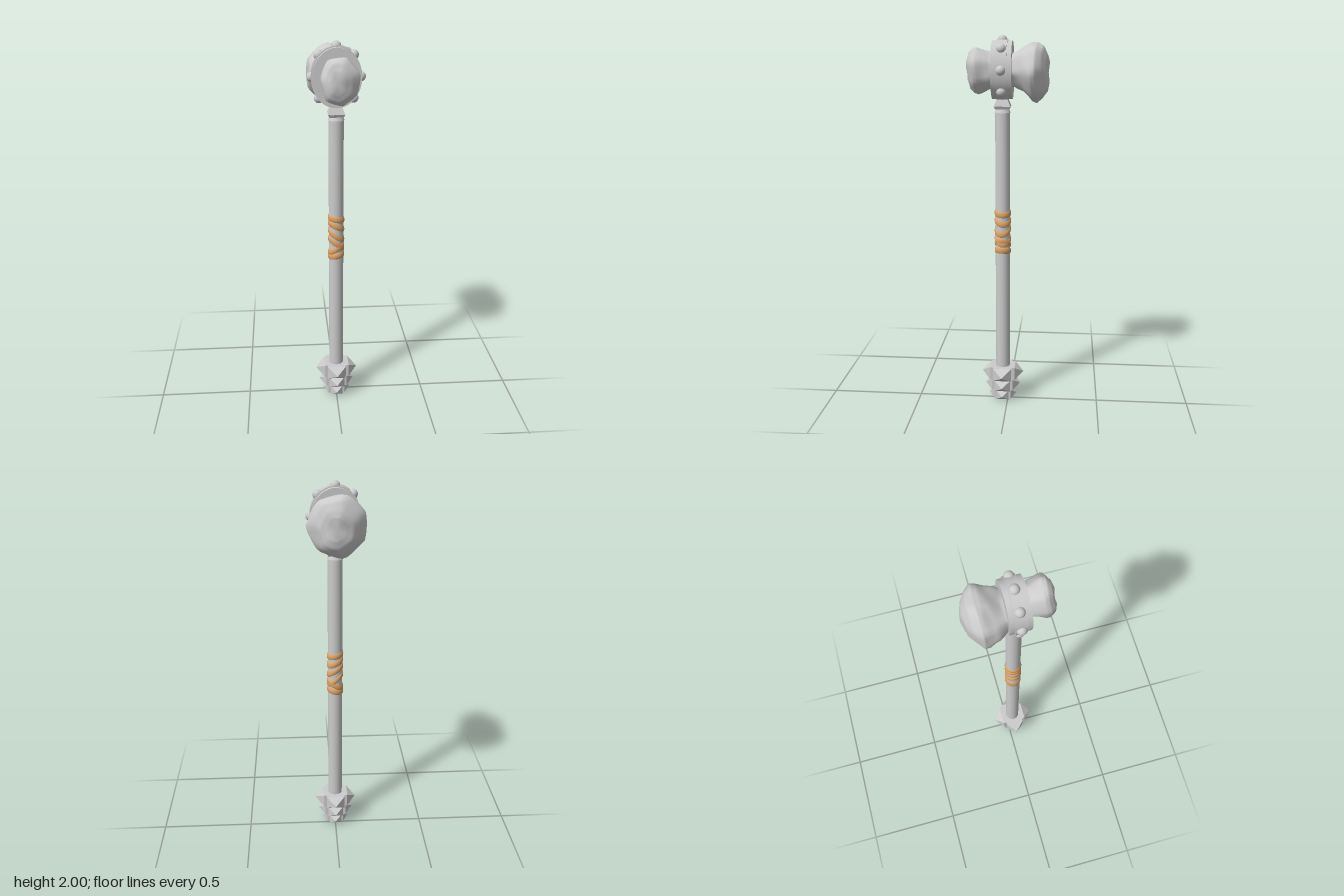
import * as THREE from 'three';

const grey = new THREE.MeshStandardMaterial({ color: 0xcccccc });
const facet = new THREE.MeshStandardMaterial({ color: 0xcccccc, flatShading: true });
const cord = new THREE.MeshStandardMaterial({ color: 0xe0a468, side: THREE.DoubleSide });

function add(parent, name, geo, mat, x = 0, y = 0, z = 0) {
  const m = new THREE.Mesh(geo, mat);
  m.name = name;
  m.position.set(x, y, z);
  parent.add(m);
  return m;
}

// Square frustum given by half widths
function frustum(top, bottom, h) {
  return new THREE.CylinderGeometry(top * Math.SQRT2, bottom * Math.SQRT2, h, 4).rotateY(Math.PI / 4);
}

// Rough stone lofted along z; stations are [z, xMin, xMax, yMin, yMax]
function stone(stations, sides, phase) {
  const N = 40, steps = 4, pos = [], idx = [];
  const rows = [];
  for (let i = 0; i < stations.length - 1; i++)
    for (let k = 0; k < steps; k++)
      rows.push(stations[i].map((v, c) => v + (stations[i + 1][c] - v) * k / steps));
  rows.push(stations[stations.length - 1]);
  const ring = (z, x0, x1, y0, y1) => {
    for (let j = 0; j < N; j++) {
      const a = j / N * Math.PI * 2, sector = Math.PI * 2 / sides;
      // soft polygon with a slow twist gives broad chipped planes
      const b = (((a + phase + z * 1.5) % sector) + sector) % sector - sector / 2;
      const poly = Math.cos(sector / 2) / Math.cos(b);
      const r = 0.35 + 0.65 * poly + 0.02 * Math.sin(3 * a + z * 45 + phase) + 0.012 * Math.sin(5 * a - z * 70);
      pos.push((x0 + x1) / 2 + (x1 - x0) / 2 * r * Math.cos(a),
        (y0 + y1) / 2 + (y1 - y0) / 2 * r * Math.sin(a),
        z + 0.006 * Math.sin(2 * a + phase));
    }
  };
  rows.forEach(r => ring(...r));
  for (let i = 0; i < rows.length - 1; i++)
    for (let j = 0; j < N; j++) {
      const a = i * N + j, b = i * N + (j + 1) % N;
      idx.push(a, b, b + N, a, b + N, a + N);
    }
  // end caps
  [0, rows.length - 1].forEach((i, end) => {
    const [z, x0, x1, y0, y1] = rows[i], c = pos.length / 3;
    pos.push((x0 + x1) / 2, (y0 + y1) / 2, z);
    for (let j = 0; j < N; j++) {
      const a = i * N + j, b = i * N + (j + 1) % N;
      end ? idx.push(a, b, c) : idx.push(b, a, c);
    }
  });
  const g = new THREE.BufferGeometry();
  g.setAttribute('position', new THREE.Float32BufferAttribute(pos, 3));
  g.setIndex(idx);
  g.computeVertexNormals();
  return g;
}

export function createModel() {
  const root = new THREE.Group();
  root.name = 'warHammer';
  const zc = 0.028, headY = 1.825;

  // Handle
  const handle = new THREE.Group();
  handle.name = 'handle';
  handle.position.z = zc;
  root.add(handle);
  add(handle, 'shaft', new THREE.CylinderGeometry(0.039, 0.039, 1.43, 32), grey, 0, 0.895, 0);
  add(handle, 'shaftRim', new THREE.CylinderGeometry(0.034, 0.042, 0.02, 32), grey, 0, 1.618, 0);
  add(handle, 'collarBase', frustum(0.043, 0.036, 0.015), facet, 0, 1.634, 0);
  add(handle, 'collarTop', frustum(0.028, 0.043, 0.038), facet, 0, 1.66, 0);
  add(handle, 'collarNeck', new THREE.CylinderGeometry(0.03, 0.03, 0.06, 24), grey, 0, 1.69, 0);

  // Cord grip: slanted bands, each [height, slope across x, slope across z]
  [[1.077, -0.2, 0.05], [1.035, -0.45, 0.1], [0.985, -0.6, -0.1], [0.935, -0.7, 0.1], [0.905, 0.5, 0.1], [0.868, 0.15, 0.05]]
    .forEach(([y, sx, sz]) => {
      const profile = [[0.039, -0.016], [0.043, -0.011], [0.044, 0], [0.043, 0.011], [0.039, 0.016]]
        .map(p => new THREE.Vector2(...p));
      const g = new THREE.LatheGeometry(profile, 32);
      const p = g.attributes.position;
      for (let i = 0; i < p.count; i++) p.setY(i, p.getY(i) + sx * p.getX(i) + sz * p.getZ(i));
      g.computeVertexNormals();
      add(handle, 'gripBand', g, cord, 0, y, 0);
    });

  // Pommel: three shrinking tiers with a spiked block on every side
  const pommel = new THREE.Group();
  pommel.name = 'pommel';
  handle.add(pommel);
  // [bottom, top, block half width, block reach, spike tip]
  [[0.127, 0.2, 0.05, 0.068, 0.115], [0.062, 0.124, 0.043, 0.058, 0.097], [0.008, 0.059, 0.034, 0.046, 0.075]]
    .forEach(([y0, y1, w, reach, tip]) => {
      const h = y1 - y0, y = (y0 + y1) / 2;
      add(pommel, 'pommelCore', new THREE.BoxGeometry(w * 2.16, h, w * 2.16), facet, 0, y, 0);
      for (let i = 0; i < 4; i++) {
        const side = new THREE.Group();
        side.name = 'spikedBlock';
        side.position.y = y;
        side.rotation.y = i * Math.PI / 2;
        pommel.add(side);
        add(side, 'block', new THREE.BoxGeometry(w * 2, h, reach), facet, 0, 0, reach / 2);
        const spike = frustum(0, 1, 1).scale(w, tip - reach, h / 2).rotateX(Math.PI / 2);
        add(side, 'spike', spike, facet, 0, 0, (reach + tip) / 2);
      }
    });
  add(pommel, 'pommelJoint', new THREE.BoxGeometry(0.07, 0.18, 0.07), facet, 0, 0.1, 0);
  add(pommel, 'pommelFoot', frustum(0.035, 0.03, 0.01), facet, 0, 0.005, 0);

  // Head
  const head = new THREE.Group();
  head.name = 'head';
  root.add(head);
  const oval = (name, rx, ry, depth) => add(head, name,
    new THREE.CylinderGeometry(1, 1, depth, 64).rotateX(Math.PI / 2), grey, 0, headY, zc).scale.set(rx, ry, 1);
  oval('ringFlange', 0.12, 0.147, 0.105);
  oval('ringBand', 0.127, 0.153, 0.056);

  // Round studs, leaving the bottom free for the handle
  for (let i = 0; i < 8; i++) {
    if (i === 6) continue;
    const a = i * Math.PI / 4;
    add(head, 'stud', new THREE.SphereGeometry(0.025, 20, 14), grey,
      0.123 * Math.cos(a), headY + 0.15 * Math.sin(a), zc);
  }

  add(head, 'frontStone', stone([
    [0.03, -0.07, 0.09, 1.73, 1.92],
    [0.085, -0.07, 0.088, 1.73, 1.918],
    [0.12, -0.078, 0.095, 1.715, 1.932],
    [0.155, -0.09, 0.108, 1.702, 1.945],
    [0.175, -0.088, 0.107, 1.705, 1.942],
    [0.197, -0.07, 0.07, 1.725, 1.92],
    [0.208, -0.04, 0.03, 1.765, 1.88],
  ], 7, 0.3), grey);
  add(head, 'backStone', stone([
    [-0.209, -0.04, 0.05, 1.76, 1.87],
    [-0.2, -0.08, 0.085, 1.715, 1.905],
    [-0.178, -0.115, 0.115, 1.685, 1.952],
    [-0.145, -0.153, 0.147, 1.657, 1.972],
    [-0.12, -0.15, 0.145, 1.66, 1.967],
    [-0.075, -0.138, 0.118, 1.708, 1.942],
    [-0.03, -0.107, 0.096, 1.735, 1.917],
    [0.02, -0.1, 0.09, 1.74, 1.91],
  ], 7, 1.1), grey);

  return root;
}
